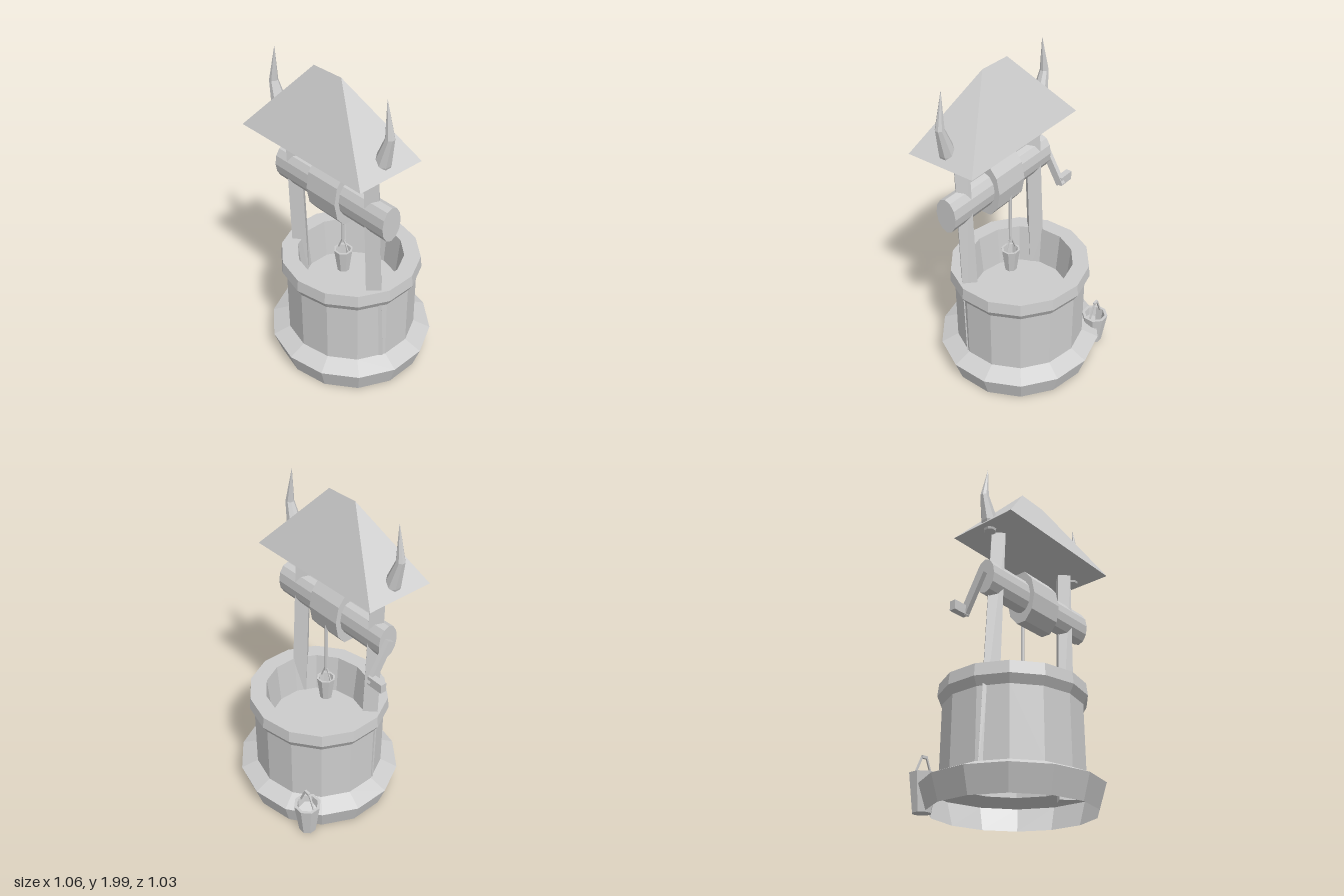
import * as THREE from 'three';

const stone = new THREE.MeshStandardMaterial({ color: 0xcccccc, flatShading: true, side: THREE.DoubleSide });
stone.name = 'plain grey';

const CX = 0.008; // middle of the well in x

function add(parent, name, geometry) {
  const mesh = new THREE.Mesh(geometry, stone);
  mesh.name = name;
  parent.add(mesh);
  return mesh;
}

function lathe(points, sides) {
  return new THREE.LatheGeometry(points.map(([r, y]) => new THREE.Vector2(r, y)), sides);
}

// Solid bar with its ends at a and b
function bar(parent, name, a, b, r0, r1, sides, turn = 0) {
  const from = new THREE.Vector3(...a), to = new THREE.Vector3(...b);
  const geometry = new THREE.CylinderGeometry(r1, r0, from.distanceTo(to), sides);
  geometry.rotateY(turn);
  const mesh = add(parent, name, geometry);
  mesh.position.copy(from).add(to).multiplyScalar(0.5);
  mesh.quaternion.setFromUnitVectors(new THREE.Vector3(0, 1, 0), to.sub(from).normalize());
  return mesh;
}

// Loft through horizontal rings [x, y, radius]
function loft(rings, sides) {
  const pos = [], index = [];
  rings.forEach(([x, y, r], i) => {
    for (let j = 0; j < sides; j++) {
      const a = ((j + 0.5) / sides) * Math.PI * 2;
      pos.push(x + r * Math.sin(a), y, r * Math.cos(a));
      if (i === 0) continue;
      const k = (j + 1) % sides, p = (i - 1) * sides, q = i * sides;
      index.push(p + j, p + k, q + k, p + j, q + k, q + j);
    }
  });
  for (let j = 1; j < sides - 1; j++) index.push(0, j + 1, j);
  const g = new THREE.BufferGeometry();
  g.setAttribute('position', new THREE.Float32BufferAttribute(pos, 3));
  g.setIndex(index);
  g.computeVertexNormals();
  return g;
}

// Hip roof: a box whose top is pinched to a short ridge
function roofGeometry() {
  const g = new THREE.BoxGeometry(0.96, 0.416, 0.445);
  const p = g.attributes.position;
  for (let i = 0; i < p.count; i++) {
    if (p.getY(i) > 0) {
      p.setX(i, Math.sign(p.getX(i)) * 0.105);
      p.setZ(i, 0);
    }
  }
  g.computeVertexNormals();
  return g;
}

// Eight-sided bucket with a folded handle, standing on y = 0
function bucket(name) {
  const group = new THREE.Group();
  group.name = name;
  const body = lathe([[0, 0], [0.055, 0], [0.085, 0.22], [0.066, 0.22], [0.044, 0.03], [0, 0.03]], 8);
  body.rotateY(Math.PI / 8);
  add(group, 'bucketBody', body);
  for (const s of [-1, 1]) {
    bar(group, 'bucketHandleSide', [s * 0.068, 0.2, 0], [s * 0.018, 0.315, 0], 0.007, 0.007, 4, Math.PI / 4);
  }
  const grip = add(group, 'bucketHandleGrip', new THREE.BoxGeometry(0.038, 0.016, 0.016));
  grip.position.y = 0.317;
  return group;
}

export function createModel() {
  const model = new THREE.Group();
  model.name = 'well';

  // Stone ring: flared foot, wall, rim, inner wall and floor
  const ring = add(model, 'stoneRing', lathe([
    [0.488, 0], [0.535, 0.145], [0.424, 0.19], [0.422, 0.605], [0.452, 0.655],
    [0.444, 0.73], [0.34, 0.73], [0.314, 0.47], [0, 0.47],
  ], 14));
  ring.position.x = CX;
  ring.scale.z = 0.965;

  // Leaning posts and horns, mirrored
  for (const s of [-1, 1]) {
    bar(model, 'post', [CX + s * 0.345, 0.115, 0.11], [CX + s * 0.321, 1.59, 0.157], 0.068, 0.058, 4);
    const horn = add(model, 'horn', loft([
      [s * 0.405, 1.56, 0.035], [s * 0.408, 1.62, 0.052], [s * 0.458, 1.785, 0.027], [s * 0.432, 1.99, 0.001],
    ], 8));
    horn.position.set(CX, 0, 0.166);
  }

  add(model, 'roof', roofGeometry()).position.set(0.009, 1.782, 0.166);

  // Flattened axle and drum
  const axle = new THREE.CylinderGeometry(0.109, 0.109, 0.9, 12);
  axle.rotateZ(Math.PI / 2).scale(1, 1, 0.64);
  add(model, 'axle', axle).position.set(0.034, 1.259, 0.149);
  const drum = new THREE.CylinderGeometry(0.175, 0.175, 0.238, 10);
  drum.rotateZ(Math.PI / 2).scale(1, 1, 0.59);
  add(model, 'drum', drum).position.set(0.024, 1.256, 0.147);

  // Crank
  const arm = add(model, 'crankArm', new THREE.BoxGeometry(0.03, 0.27, 0.05));
  arm.position.set(-0.433, 1.165, 0.077);
  arm.rotation.x = 0.53;
  add(model, 'crankHandle', new THREE.BoxGeometry(0.11, 0.058, 0.04)).position.set(-0.479, 1.07, 0.016);

  // Rope and hanging bucket
  bar(model, 'rope', [0.015, 0.84, 0.068], [0.015, 1.2, 0.068], 0.011, 0.011, 6);
  const hanging = bucket('hangingBucket');
  hanging.scale.setScalar(0.7);
  hanging.position.set(0.015, 0.625, 0.068);
  model.add(hanging);

  // Bucket standing by the foot
  const standing = bucket('standingBucket');
  standing.position.set(-0.328, 0, -0.372);
  model.add(standing);

  return model;
}
